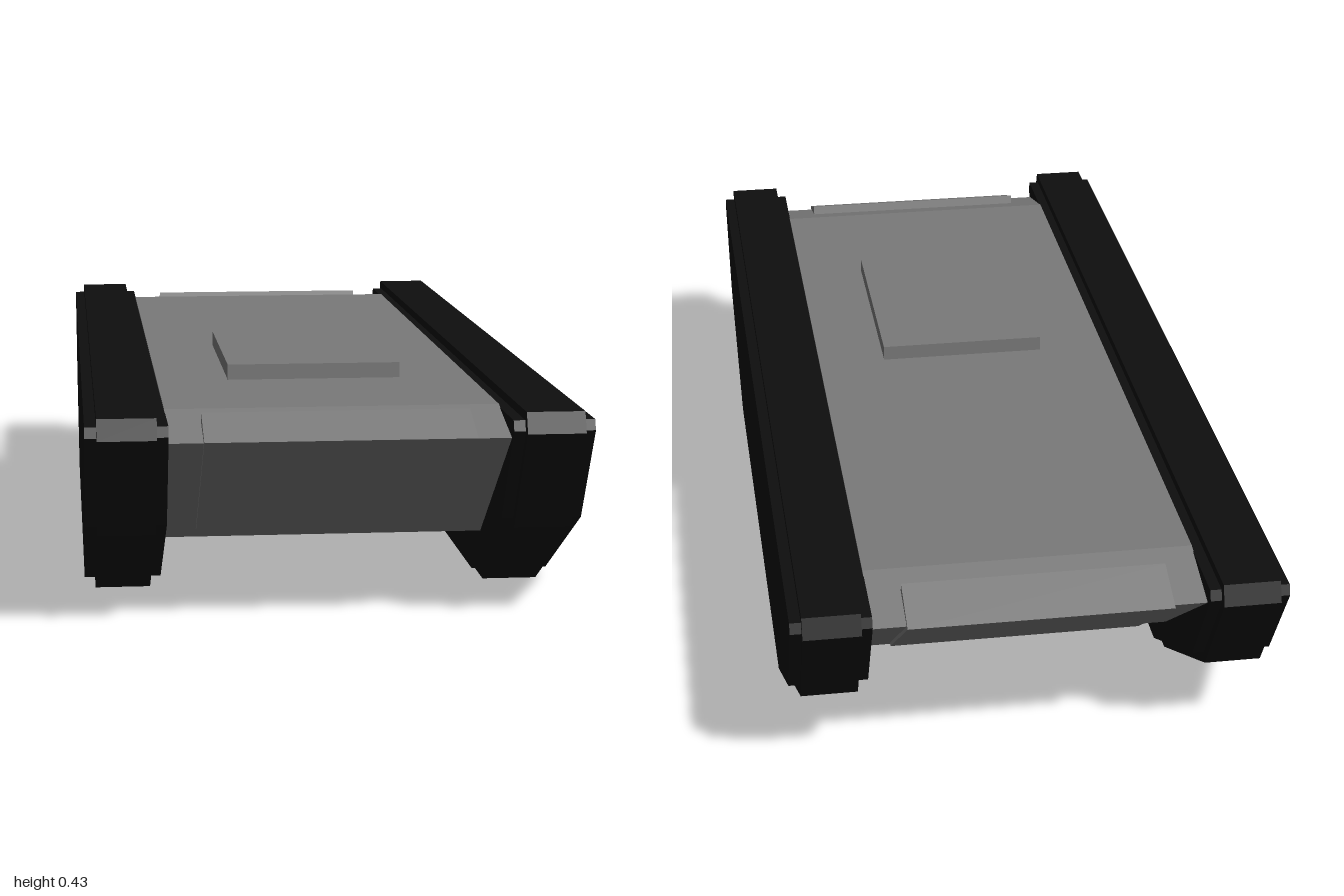
import * as THREE from 'three';

const hullGrey = new THREE.MeshStandardMaterial({ name: 'hullGrey', color: 0x7a7a7a });
const trackBlack = new THREE.MeshStandardMaterial({ name: 'trackBlack', color: 0x0e0e0e });

// Extrudes a side profile of [z, y] points across x, centred on x
function sideProfile(name, points, width, x, material) {
  const shape = new THREE.Shape(points.map(([z, y]) => new THREE.Vector2(-z, y)));
  const geometry = new THREE.ExtrudeGeometry(shape, { depth: width, bevelEnabled: false });
  geometry.translate(0, 0, -width / 2);
  geometry.rotateY(Math.PI / 2);
  const mesh = new THREE.Mesh(geometry, material);
  mesh.name = name;
  mesh.position.x = x;
  return mesh;
}

// Completes a half profile with its front-to-back reflection
const symmetric = (half) => [...half, ...half.map(([z, y]) => [-z, y]).reverse()];

export function createModel() {
  const model = new THREE.Group();
  model.name = 'trackedHull';

  // Hull tub with sloped nose and tail
  const hull = symmetric([[0.82, 0.395], [0.96, 0.357], [0.65, 0.117]]);
  model.add(sideProfile('hull', hull, 0.618, 0, hullGrey));

  // Wedge-shaped armour plates wrapping the nose and tail
  const plate = [[0.88, 0.398], [0.975, 0.36], [0.685, 0.135], [0.665, 0.145], [0.87, 0.365]];
  for (const [name, s] of [['frontPlate', 1], ['rearPlate', -1]]) {
    model.add(sideProfile(name, plate.map(([z, y]) => [z * s, y]), 0.49, 0, hullGrey));
  }

  // Raised deck hatch
  const hatch = new THREE.Mesh(new THREE.BoxGeometry(0.34, 0.04, 0.465), hullGrey);
  hatch.name = 'deckHatch';
  hatch.position.set(0, 0.405, 0.2625);
  model.add(hatch);

  // Each track is a wide belt with a narrower raised tread around it
  const belt = symmetric([[0.972, 0.391], [0.98, 0.372], [0.872, 0.19], [0.56, 0.02]]);
  const tread = symmetric([[0.985, 0.408], [1, 0.37], [0.887, 0.175], [0.565, 0]]);
  for (const [name, s] of [['leftTrack', 1], ['rightTrack', -1]]) {
    const track = new THREE.Group();
    track.name = name;
    track.add(sideProfile('belt', belt, 0.148, 0, trackBlack));
    track.add(sideProfile('tread', tread, 0.106, 0, trackBlack));
    track.position.x = s * 0.382;
    model.add(track);
  }

  return model;
}
